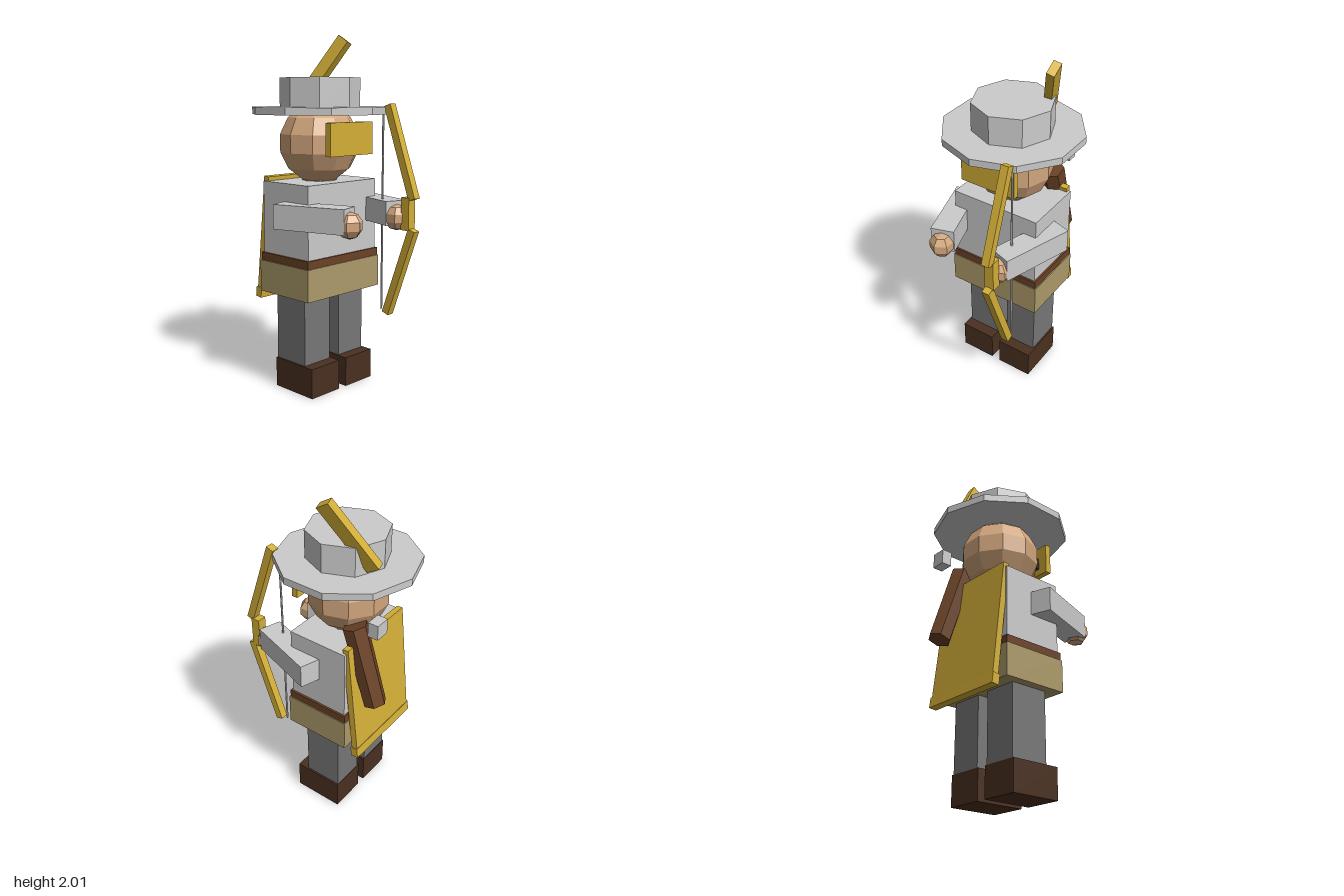
import * as THREE from 'three';

const mat = (color) => new THREE.MeshStandardMaterial({ color, flatShading: true });

export function createModel() {
  const root = new THREE.Group();
  root.name = 'archer';
  const grey = mat(0xcccccc), gold = mat(0xd4af37), skin = mat(0xd2a67d), dark = mat(0x222222);
  const boot = mat(0x4a3020), leather = mat(0x6b4226), tan = mat(0xac9a6a), legGrey = mat(0x777777);

  function add(name, geometry, material, x, y, z) {
    const m = new THREE.Mesh(geometry, material);
    m.name = name;
    m.position.set(x, y, z);
    root.add(m);
    return m;
  }
  const box = (name, material, w, h, d, x, y, z) =>
    add(name, new THREE.BoxGeometry(w, h, d), material, x, y, z);

  // Box whose long side runs between two points of a plane x = const
  function bar(name, material, w, d, x, [y0, z0], [y1, z1]) {
    const m = box(name, material, w, Math.hypot(y1 - y0, z1 - z0), d, x, (y0 + y1) / 2, (z0 + z1) / 2);
    m.rotation.x = Math.atan2(z1 - z0, y1 - y0);
    return m;
  }

  // Limbs, mirrored left and right
  for (const [side, s] of [['left', 1], ['right', -1]]) {
    box(side + 'Boot', boot, 0.215, 0.17, 0.295, s * 0.135, 0.085, -0.048);
    box(side + 'Leg', legGrey, 0.195, 0.45, 0.225, s * 0.135, 0.39, -0.08);
    box(side + 'Arm', grey, 0.133, 0.135, 0.42, s * 0.251, 1.022, 0.125).rotation.y = -s * 0.305;
    add(side + 'Hand', new THREE.SphereGeometry(0.073, 6, 5), skin, s * 0.19, 0.998, 0.33)
      .rotation.y = Math.PI / 2;
    box(side + 'Eye', dark, 0.05, 0.07, 0.03, s * 0.08, 1.415, 0.115);
  }

  // Body
  box('tunicSkirt', tan, 0.57, 0.18, 0.39, 0, 0.65, -0.08);
  box('belt', leather, 0.558, 0.05, 0.38, 0, 0.76, -0.08);
  box('torso', grey, 0.535, 0.41, 0.36, 0, 0.985, -0.08);
  add('neck', new THREE.CylinderGeometry(0.1, 0.1, 0.08, 8), skin, 0, 1.18, -0.085);

  // Head and face plate
  add('head', new THREE.SphereGeometry(0.228, 10, 7), skin, 0, 1.4, -0.085);
  box('facePlate', gold, 0.335, 0.18, 0.035, 0.002, 1.43, 0.147);

  // Hat with feather
  add('hatBrim', new THREE.CylinderGeometry(0.39, 0.39, 0.04, 10), grey, 0, 1.58, -0.08);
  add('hatCrown', new THREE.CylinderGeometry(0.225, 0.225, 0.16, 8), grey, 0, 1.68, -0.08);
  box('feather', gold, 0.045, 0.42, 0.082, 0.153, 1.81, -0.201).rotation.set(0.545, 0, -0.33);

  // Cape with a hem
  bar('cape', gold, 0.505, 0.036, 0, [1.215, -0.253], [0.56, -0.322]);
  bar('capeHem', gold, 0.52, 0.044, 0, [0.565, -0.321], [0.507, -0.328]);

  // Quiver and arrow fletching
  const quiver = add('quiver', new THREE.CylinderGeometry(0.069, 0.064, 0.47, 6), leather, 0.152, 1.085, -0.31);
  quiver.rotation.x = 0.308;
  box('arrowFletching', grey, 0.085, 0.085, 0.06, 0.155, 1.357, -0.38);

  // Bow
  const bx = 0.195;
  box('bowGrip', gold, 0.055, 0.18, 0.054, bx, 1.025, 0.403);
  bar('upperBowLimb', gold, 0.045, 0.045, bx, [1.106, 0.444], [1.612, 0.265]);
  bar('lowerBowLimb', gold, 0.045, 0.045, bx, [0.44, 0.265], [0.939, 0.444]);
  add('bowString', new THREE.CylinderGeometry(0.006, 0.006, 1.11, 6), grey, bx, 1.01, 0.22);

  return root;
}
